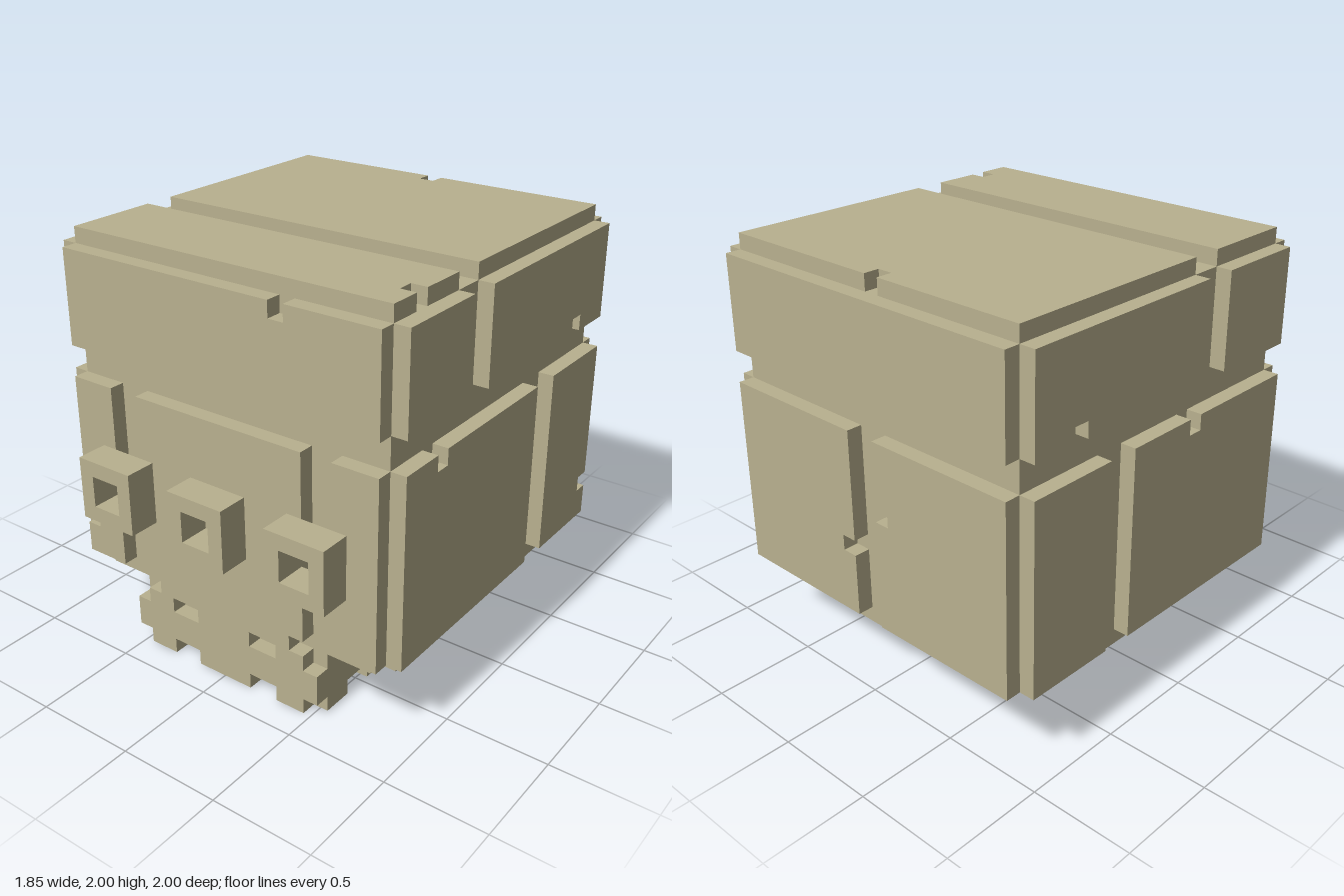
import * as THREE from 'three';

const U = 1 / 13; // one block of the modelling grid
const HALF = Math.PI / 2;

export function createModel() {
  const root = new THREE.Group();
  const stone = new THREE.MeshStandardMaterial({ color: 0xb9b18f });
  stone.name = 'khaki stone';

  // Orientations: front (u = x, v = y), side (u = -z, v = y), flat (u = x, v = -z)
  const turn = {
    front: (g) => g,
    side: (g) => g.rotateY(HALF),
    flat: (g) => g.rotateX(-HALF),
  };

  // Extrude an outline from depth n0 to n1 in grid units
  function slab(name, dir, pts, n0, n1, hole) {
    const shape = new THREE.Shape(pts.map(([u, v]) => new THREE.Vector2(u, v)));
    if (hole) shape.holes.push(new THREE.Path(hole.map(([u, v]) => new THREE.Vector2(u, v))));
    const geo = new THREE.ExtrudeGeometry(shape, { depth: n1 - n0, bevelEnabled: false });
    geo.translate(0, 0, n0);
    turn[dir](geo).scale(U, U, U);
    const mesh = new THREE.Mesh(geo, stone);
    mesh.name = name;
    root.add(mesh);
  }

  // Rectangle with an optional one-block notch starting at s on one edge
  function rect(u0, v0, u1, v1, edge, s) {
    const e = s + 1;
    const cut = (k, pts) => (edge === k ? pts : []);
    return [
      [u0, v0], ...cut('bottom', [[s, v0], [s, v0 + 1], [e, v0 + 1], [e, v0]]),
      [u1, v0], ...cut('right', [[u1, s], [u1 - 1, s], [u1 - 1, e], [u1, e]]),
      [u1, v1], ...cut('top', [[e, v1], [e, v1 - 1], [s, v1 - 1], [s, v1]]),
      [u0, v1], ...cut('left', [[u0, e], [u0 + 1, e], [u0 + 1, s], [u0, s]]),
    ];
  }

  // Skull core and its base layer with clipped corners
  slab('skullCore', 'flat', rect(-11, -10, 11, 12), 5, 25);
  slab('skullBase', 'flat', [
    [-10, -10], [10, -10], [10, -9], [11, -9], [11, 11], [10, 11],
    [10, 12], [-10, 12], [-10, 11], [-11, 11], [-11, -9], [-10, -9],
  ], 4, 5);

  // Top plates
  slab('topFrontPlate', 'flat', rect(-11, -10, 11, -4, 'right', -8), 25, 26);
  slab('topBackPlate', 'flat', rect(-11, -2, 11, 12, 'top', -1), 25, 26);

  // Front plates; the middle one narrows as it runs into the jaw
  slab('browPlate', 'front', rect(-11, 19, 11, 25, 'top', 4), 10, 11);
  slab('frontRightPlate', 'front', rect(-11, 5, -8, 17, 'left', 7), 10, 11);
  slab('frontLeftPlate', 'front', rect(8, 5, 11, 17), 10, 11);
  slab('frontMiddlePlate', 'front', [
    [-5, 4], [5, 4], [5, 5], [6, 5], [6, 17], [-6, 17], [-6, 5], [-5, 5],
  ], 10, 11);

  // Back plates
  slab('backUpperPlate', 'front', rect(-11, 19, 11, 25), -13, -12);
  slab('backLeftPlate', 'front', rect(1, 5, 11, 17, 'left', 9), -13, -12);
  slab('backRightPlate', 'front', rect(-11, 5, -1, 17, 'right', 12), -13, -12);

  // Side plates
  for (const left of [true, false]) {
    const n = left ? 11 : -12;
    const tag = left ? 'left' : 'right';
    slab(tag + 'UpperFrontPlate', 'side', rect(-10, 19, -4, 25), n, n + 1);
    slab(tag + 'UpperBackPlate', 'side', rect(-2, 19, 12, 25, 'bottom', 8), n, n + 1);
    slab(tag + 'LowerFrontPlate', 'side', rect(-10, 5, 4, 17, 'top', left ? -7 : -2), n, n + 1);
    slab(tag + 'LowerBackPlate', 'side', rect(6, 5, 12, 17, left ? 'right' : '', 7), n, n + 1);
  }

  // Square sockets on the face and underneath
  const ring = (name, dir, u, v, n0, n1) => slab(name, dir,
    rect(u - 2, v - 2, u + 2, v + 2), n0, n1, rect(u - 1, v - 1, u + 1, v + 1));
  for (const x of [-7, 0, 7]) ring('faceSocket', 'front', x, 11, 11, 13);
  for (const [x, z] of [[-5, -1], [5, -1], [0, -8]]) ring('baseSocket', 'flat', x, -z, 3, 4);

  // U-shaped jaw: notched rims above and below a plain middle layer
  const mirrored = (half) => [
    ...half.map(([x, z]) => [x, -z]),
    ...half.slice().reverse().map(([x, z]) => [-x, -z]),
  ];
  const rim = [
    [2, 11], [2, 10], [4, 10], [4, 11], [6, 11], [6, 10], [7, 10],
    [7, 8], [6, 8], [6, 6], [7, 6], [7, 4],
  ];
  slab('jawLowerRim', 'flat', mirrored([...rim, [6, 4], [6, 3], [4, 3], [4, 8]]), 0, 1);
  slab('jawMiddle', 'flat', mirrored([[7, 11], [7, 3], [4, 3], [4, 8]]), 1, 3);
  slab('jawUpperRim', 'flat', mirrored([...rim, [4, 4], [4, 8]]), 3, 4);

  return root;
}
